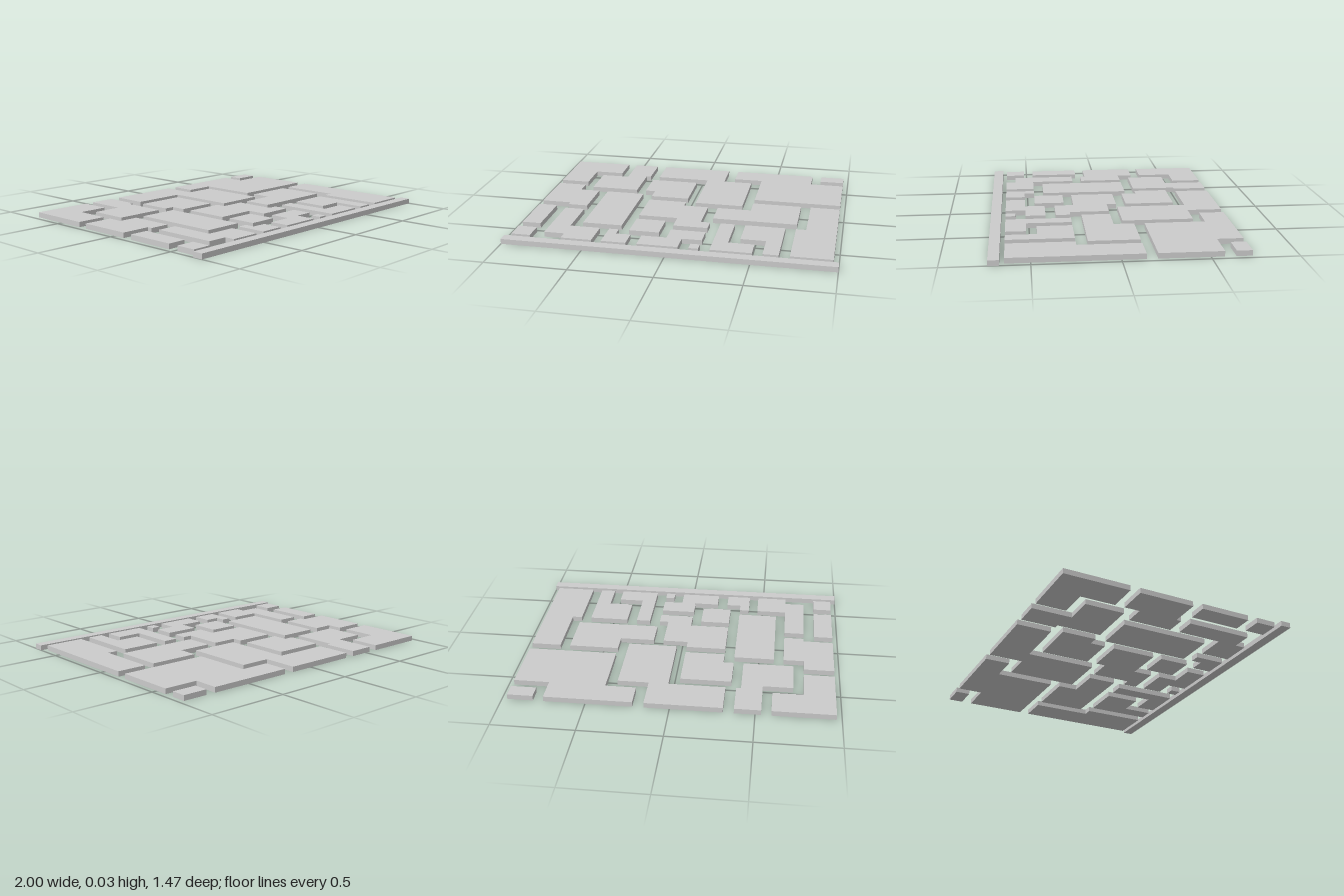
import * as THREE from 'three';

const THICKNESS = 0.032;
const material = new THREE.MeshStandardMaterial({ color: 0xcccccc, flatShading: true });

// Right-angled slab: the list alternates x, z, x, z... and each value moves
// the outline along one axis, so [x0, z0, x1, z1] is a plain rectangle.
function slab(name, ...steps) {
  const points = [];
  for (let i = 0; i < steps.length; i += 2) {
    const x = steps[i], z = steps[i + 1];
    const nextX = steps[(i + 2) % steps.length];
    if (i === 0) points.push(new THREE.Vector2(x, -z));
    if (i > 0) points.push(new THREE.Vector2(x, -z));
    points.push(new THREE.Vector2(nextX, -z));
  }
  const geometry = new THREE.ExtrudeGeometry(new THREE.Shape(points), {
    depth: THICKNESS, bevelEnabled: false,
  });
  geometry.rotateX(-Math.PI / 2);
  const mesh = new THREE.Mesh(geometry, material);
  mesh.name = name;
  return mesh;
}

export function createModel() {
  const group = new THREE.Group();
  group.name = 'slabPlan';
  group.add(
    // Back row
    slab('backLeftCornerSlab', -0.968, -0.735, -0.594, -0.545, -0.781, -0.326),
    slab('backStepSlab', -0.535, -0.735, -0.377, -0.516, -0.406, -0.235, -0.717, -0.481),
    slab('backMiddleSlab', -0.313, -0.735, 0.152, -0.516, 0.342, -0.075, 0.032, -0.516),
    slab('backLargeSlab', 0.219, -0.735, 0.751, -0.578, 0.968, -0.203, 0.406, -0.578),
    slab('backCornerBlock', 0.813, -0.735, 0.968, -0.644),

    // Middle rows
    slab('notchedSlab', -0.345, -0.452, -0.032, -0.139, -0.281, -0.235),
    slab('sideStepSlab', -0.968, -0.265, -0.781, -0.168, -0.655, 0.11, -0.781, 0.078),
    slab('tallRectangleSlab', -0.594, -0.168, -0.345, 0.391),
    slab('centreStepSlab', -0.281, -0.075, -0.032, -0.013, 0.126, 0.238, 0.184, 0.329, -0.032, 0.206),
    slab('wideStepSlab', 0.406, -0.139, 0.719, 0.168, 0.19, -0.013),
    slab('sideLongSlab', 0.781, -0.139, 0.968, 0.644, 0.719, 0.238),

    // Front rows
    slab('sideSmallSlab', -0.968, 0.142, -0.85, 0.455),
    slab('frontCornerBlock', -0.968, 0.519, -0.85, 0.644),
    slab('frontElbowSlab', -0.781, 0.174, -0.655, 0.455, -0.465, 0.644, -0.655, 0.58),
    slab('frontSmallElbow', -0.406, 0.455, -0.345, 0.519, -0.254, 0.644),
    slab('squareSlab', -0.281, 0.265, -0.094, 0.455),
    slab('frontZigzagSlab', -0.032, 0.393, 0.184, 0.519, 0.062, 0.644, -0.187, 0.519),
    slab('tinyBlock', 0.126, 0.58, 0.184, 0.644),
    slab('frontLShapedSlab', 0.251, 0.238, 0.342, 0.519, 0.5, 0.644),
    slab('frontHookSlab', 0.406, 0.238, 0.655, 0.644, 0.561, 0.455),

    // Full-width strip along the front edge
    slab('frontStrip', -1, 0.671, 1, 0.735),
  );
  return group;
}
